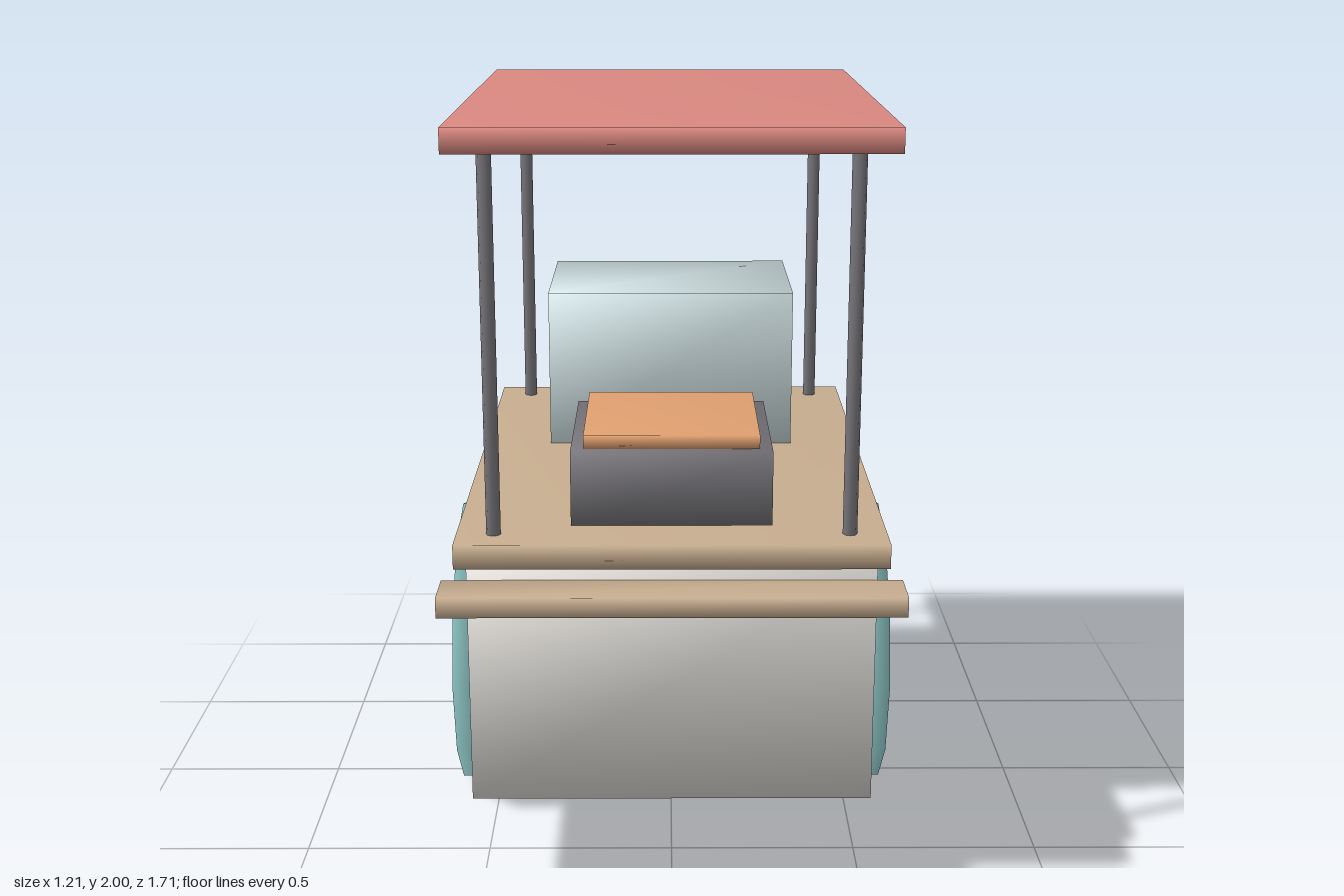
import * as THREE from 'three';
import { mergeVertices } from 'three/addons/utils/BufferGeometryUtils.js';

const paint = (color) => new THREE.MeshStandardMaterial({ color });
const red = paint(0xd98880), wood = paint(0xc8ae90), metal = paint(0x77757a);
const teal = paint(0x8ec6c6), cream = paint(0xe2dfda), ice = paint(0xd3e4e6), orange = paint(0xe0a070);

// Share corner vertices so the shading rolls softly over every edge
function soften(geometry) {
  geometry.deleteAttribute('normal');
  geometry.deleteAttribute('uv');
  const merged = mergeVertices(geometry, 1e-4);
  merged.computeVertexNormals();
  return merged;
}

export function createModel() {
  const cart = new THREE.Group();
  cart.name = 'foodCart';

  function add(name, geometry, material, x, y, z) {
    const mesh = new THREE.Mesh(soften(geometry), material);
    mesh.name = name;
    mesh.position.set(x, y, z);
    cart.add(mesh);
    return mesh;
  }

  // Box centred on x, given its width and its y and z extents
  function box(name, material, width, [y0, y1], [z0, z1]) {
    add(name, new THREE.BoxGeometry(width, y1 - y0, z1 - z0), material, 0, (y0 + y1) / 2, (z0 + z1) / 2);
  }

  // Body, counter and push handle
  box('body', cream, 1.035, [0.265, 0.907], [-0.82, 0.728]);
  box('counter', wood, 1.092, [0.907, 0.97], [-0.852, 0.758]);
  box('handle', wood, 1.162, [0.816, 0.868], [0.728, 0.857]);

  // Grill with its hot plate, and the cool box behind it
  box('grill', metal, 0.517, [0.97, 1.165], [0.082, 0.6]);
  box('hotPlate', orange, 0.452, [1.165, 1.2], [0.117, 0.567]);
  box('coolBox', ice, 0.708, [0.97, 1.42], [-0.69, -0.174]);

  // Flat roof
  box('roof', red, 1.092, [1.938, 2], [-0.852, 0.758]);

  for (const [side, s] of [['left', 1], ['right', -1]]) {
    // Solid twelve-sided wheels
    const wheel = new THREE.CylinderGeometry(0.411, 0.411, 0.075, 12).rotateZ(Math.PI / 2);
    add(side + 'Wheel', wheel, teal, s * 0.567, 0.412, -0.046);

    // Roof posts
    for (const [end, z] of [['Front', 0.666], ['Back', -0.756]]) {
      add(side + end + 'Post', new THREE.CylinderGeometry(0.0185, 0.0185, 0.968, 8), metal, s * 0.451, 1.454, z);
    }
  }
  return cart;
}
